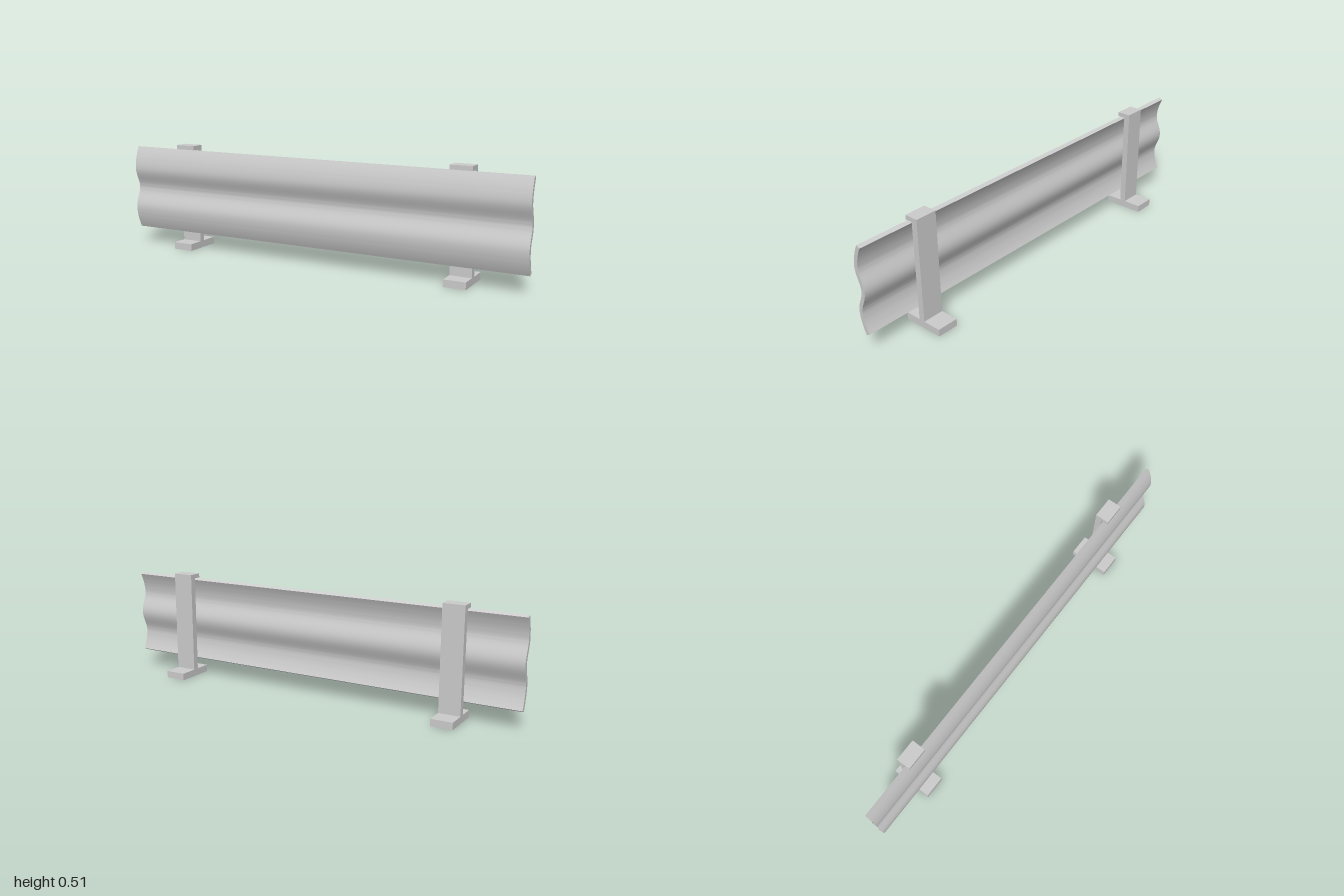
import * as THREE from 'three';
import { toCreasedNormals } from 'three/addons/utils/BufferGeometryUtils.js';

const material = new THREE.MeshStandardMaterial({ color: 0xcccccc });

// Extrudes a side profile of [z, y] points along x, centred on x = 0.
function extrudeAlongX(profile, length) {
  const shape = new THREE.Shape(profile.map(([z, y]) => new THREE.Vector2(-z, y)));
  const geometry = new THREE.ExtrudeGeometry(shape, { depth: length, bevelEnabled: false });
  geometry.translate(0, 0, -length / 2).rotateY(Math.PI / 2);
  return toCreasedNormals(geometry, 0.6);
}

// Wavy centreline of the rail: two forward bulges around a central valley.
const railY = 0.285, railHalf = 0.2, thickness = 0.019;
function railZ(y) {
  const u = Math.abs(y - railY) / 0.1;
  return u < 1
    ? 0.05 - 0.0135 * Math.cos(Math.PI * u)
    : 0.0635 - 0.027 * Math.pow(u - 1, 1.8);
}

// Offsets the centreline to both sides to give the sheet its thickness.
function railProfile(steps = 48) {
  const front = [], back = [];
  for (let i = 0; i <= steps; i++) {
    const y = railY + railHalf * (2 * i / steps - 1);
    const slope = (railZ(y + 1e-4) - railZ(y - 1e-4)) / 2e-4;
    const k = thickness / 2 / Math.hypot(1, slope);
    front.push([railZ(y) + k, y - slope * k]);
    back.push([railZ(y) - k, y + slope * k]);
  }
  return [...front, ...back.reverse()];
}

// Post with a wide foot and a short lip reaching forward over the rail.
const postProfile = [
  [0.095, 0], [0.095, 0.033], [0.02, 0.033], [0.02, 0.49], [0.055, 0.49],
  [0.055, 0.51], [-0.009, 0.51], [-0.009, 0.033], [-0.095, 0.033], [-0.095, 0],
];

export function createModel() {
  const model = new THREE.Group();
  model.name = 'guardRail';

  const rail = new THREE.Mesh(extrudeAlongX(railProfile(), 2), material);
  rail.name = 'rail';
  model.add(rail);

  const postGeometry = extrudeAlongX(postProfile, 0.1);
  for (const [name, x] of [['leftPost', 0.7], ['rightPost', -0.7]]) {
    const post = new THREE.Mesh(postGeometry, material);
    post.name = name;
    post.position.x = x;
    model.add(post);
  }
  return model;
}
